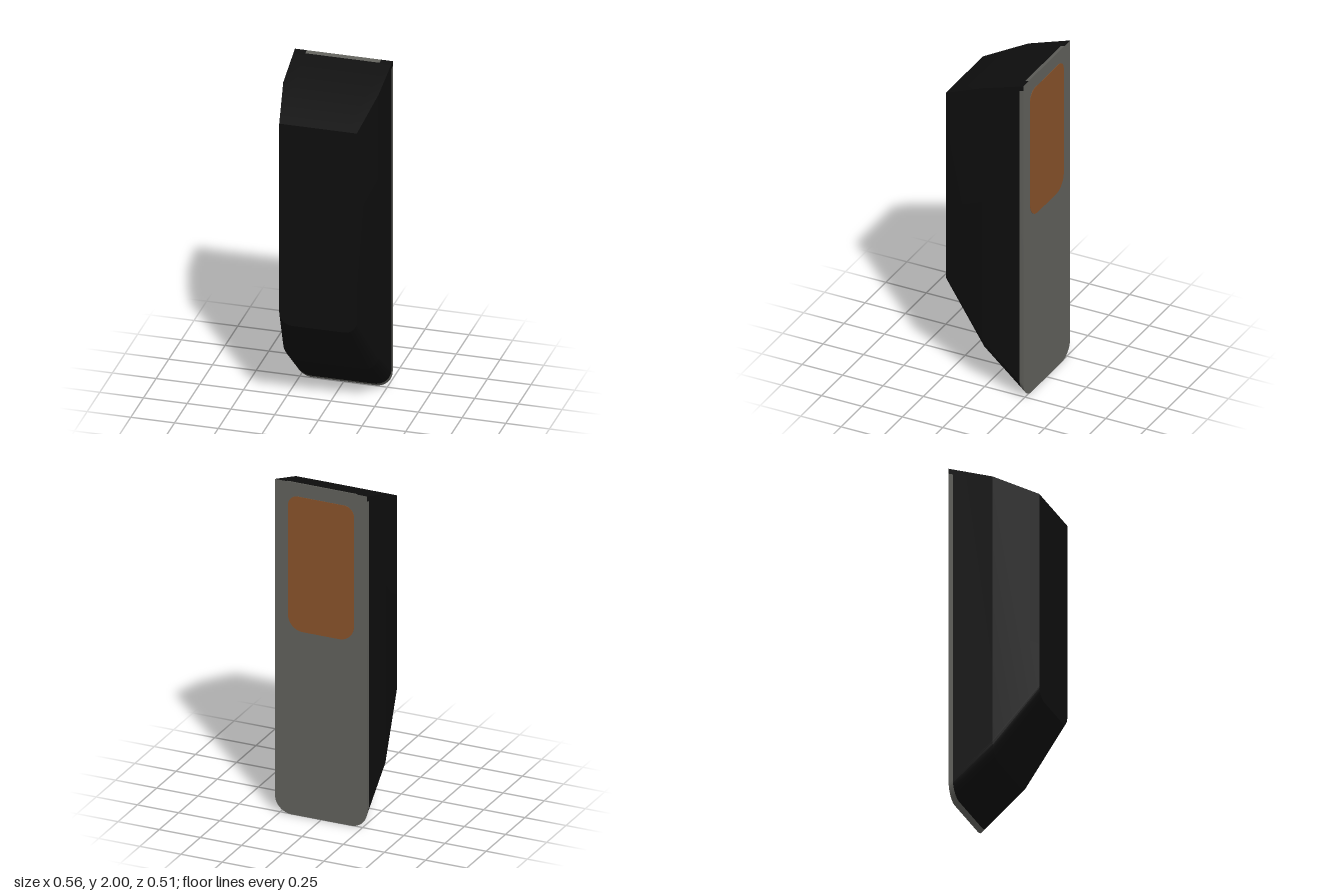
import * as THREE from 'three';
import { toCreasedNormals } from 'three/addons/utils/BufferGeometryUtils.js';

const ARC = 12;

// Cross-section outline, counter-clockwise from the front: square top, round bottom corners
function ring({ z, w, y0, y1, r }) {
  const pts = [];
  const arc = (cx, start) => {
    for (let i = 0; i <= ARC; i++) {
      const a = start + (i / ARC) * Math.PI / 2;
      pts.push([cx + r * Math.cos(a), y0 + r + r * Math.sin(a), z]);
    }
  };
  arc(w - r, -Math.PI / 2);
  pts.push([w, y1 - 0.03, z], [w, y1, z], [0.76 * w, y1, z]);
  pts.push([-0.76 * w, y1, z], [-w, y1, z], [-w, y1 - 0.03, z]);
  arc(-w + r, Math.PI);
  return pts;
}

// Quads between two outlines, for the segments that pass the filter
function band(out, a, b, keep = () => true) {
  for (let i = 0; i < a.length; i++) {
    if (!keep(i)) continue;
    const j = (i + 1) % a.length;
    out.push(...a[i], ...a[j], ...b[j], ...a[i], ...b[j], ...b[i]);
  }
}

// Flat lid over an outline
function cap(out, p, back) {
  for (let i = 1; i < p.length - 1; i++) {
    if (back) out.push(...p[0], ...p[i + 1], ...p[i]);
    else out.push(...p[0], ...p[i], ...p[i + 1]);
  }
}

function meshFrom(positions, material, name) {
  const geo = new THREE.BufferGeometry();
  geo.setAttribute('position', new THREE.Float32BufferAttribute(positions, 3));
  const mesh = new THREE.Mesh(toCreasedNormals(geo, 0.16), material);
  mesh.name = name;
  return mesh;
}

export function createModel() {
  const group = new THREE.Group();
  group.name = 'wedgeCase';
  const black = new THREE.MeshStandardMaterial({ color: 0x0e0e0e });
  black.name = 'black';
  const grey = new THREE.MeshStandardMaterial({ color: 0x60605b });
  grey.name = 'grey';
  const brown = new THREE.MeshStandardMaterial({ color: 0x87522a });
  brown.name = 'orange brown';

  const back = ring({ z: -0.255, w: 0.28, y0: 0, y1: 2, r: 0.1 });
  const rim = ring({ z: -0.231, w: 0.279, y0: 0.021, y1: 1.992, r: 0.1 });
  const middle = ring({ z: 0, w: 0.273, y0: 0.22, y1: 1.915, r: 0.095 });
  const front = ring({ z: 0.255, w: 0.222, y0: 0.56, y1: 1.79, r: 0.075 });

  // The shell wraps over the two upper corners of the back plate
  const corner = i => i >= ARC + 1 && i <= ARC + 5 && i !== ARC + 3;
  const shell = [];
  band(shell, back, rim, corner);
  band(shell, rim, middle);
  band(shell, middle, front);
  cap(shell, front, false);
  group.add(meshFrom(shell, black, 'shell'));

  // Back plate with its thin edge
  const plate = [];
  band(plate, back, rim, i => !corner(i));
  cap(plate, back, true);
  group.add(meshFrom(plate, grey, 'backPlate'));

  // Rounded pad on the back plate
  const w = 0.2, lo = 1.11, hi = 1.92, rt = 0.06, rb = 0.09;
  const s = new THREE.Shape();
  s.moveTo(-w + rb, lo);
  s.lineTo(w - rb, lo);
  s.absarc(w - rb, lo + rb, rb, -Math.PI / 2, 0);
  s.absarc(w - rt, hi - rt, rt, 0, Math.PI / 2);
  s.absarc(-w + rt, hi - rt, rt, Math.PI / 2, Math.PI);
  s.absarc(-w + rb, lo + rb, rb, Math.PI, Math.PI * 1.5);
  const pad = new THREE.Mesh(
    new THREE.ExtrudeGeometry(s, { depth: 0.003, bevelEnabled: false, curveSegments: 10 }), brown);
  pad.position.z = -0.257;
  pad.name = 'backPad';
  group.add(pad);

  return group;
}
